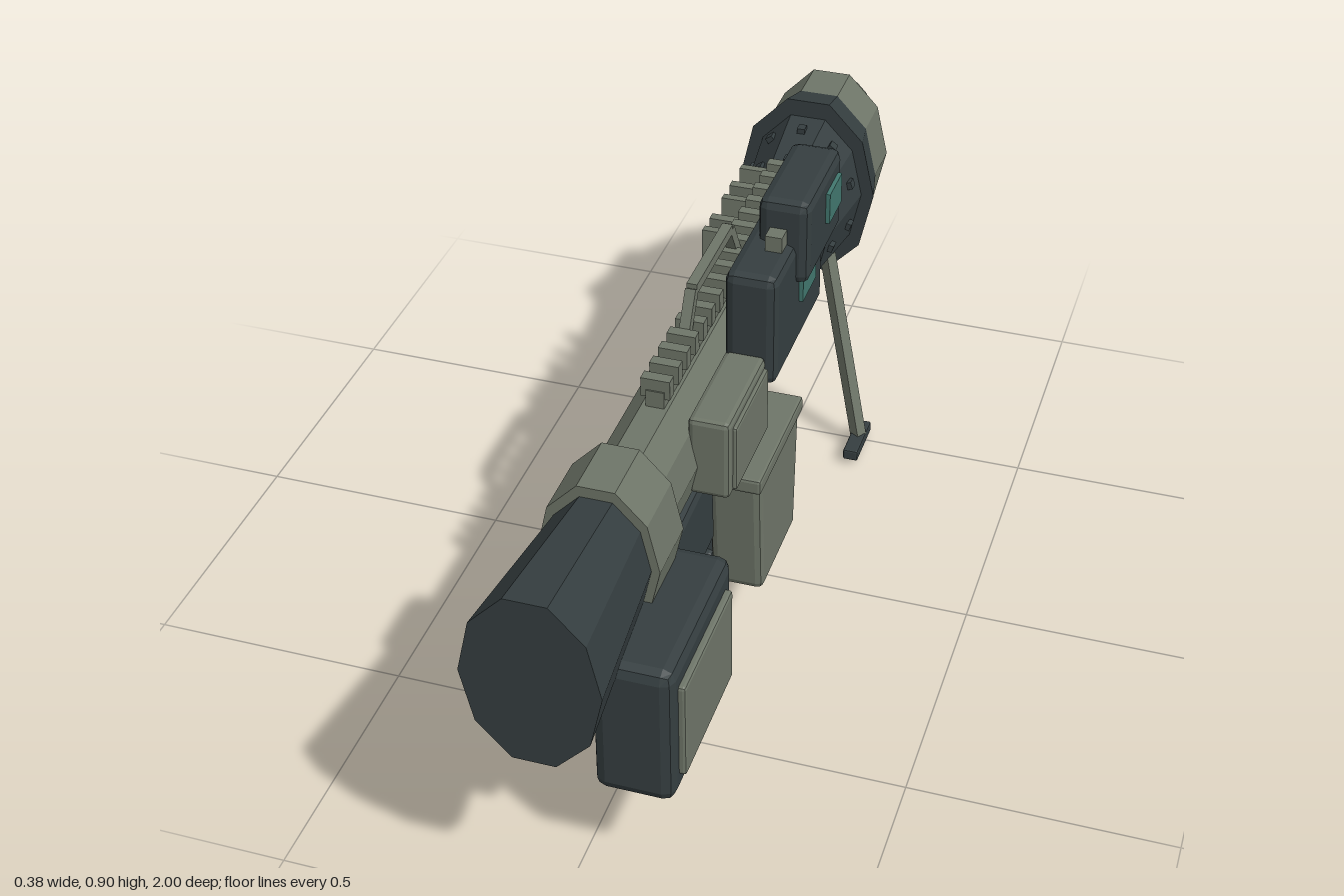
import * as THREE from 'three';
import { RoundedBoxGeometry } from 'three/addons/geometries/RoundedBoxGeometry.js';

const CX = -0.011, CY = 0.551, SQUASH = 0.69;

export function createModel() {
  const root = new THREE.Group();
  root.name = 'shoulderLauncher';
  const mat = (name, color) => {
    const m = new THREE.MeshStandardMaterial({ color });
    m.name = name;
    return m;
  };
  const dark = mat('darkGunmetal', 0x353e40);
  const grey = mat('oliveGrey', 0x6e7568);
  const teal = mat('tealGlass', 0x42776f);

  // Adds a mesh with one normal per face
  function add(name, geo, material) {
    const g = geo.index ? geo.toNonIndexed() : geo;
    g.computeVertexNormals();
    const mesh = new THREE.Mesh(g, material);
    mesh.name = name;
    root.add(mesh);
    return mesh;
  }

  // Box from its limits, with optional chamfer, tilt about x and narrowing of the bottom
  function box(name, material, [x0, x1, y0, y1, z0, z1], { bevel = 0, tilt = 0, taper = 1 } = {}) {
    const w = x1 - x0, h = y1 - y0, d = z1 - z0;
    const geo = bevel ? new RoundedBoxGeometry(w, h, d, 1, bevel) : new THREE.BoxGeometry(w, h, d);
    if (taper !== 1) {
      const p = geo.attributes.position;
      for (let i = 0; i < p.count; i++) {
        p.setZ(i, p.getZ(i) * THREE.MathUtils.lerp(taper, 1, p.getY(i) / h + 0.5));
      }
    }
    const mesh = add(name, geo, material);
    mesh.position.set((x0 + x1) / 2, (y0 + y1) / 2, (z0 + z1) / 2);
    mesh.rotation.x = tilt;
    return mesh;
  }

  // Ten-sided, sideways squashed section of the barrel between two z positions
  function section(name, material, zBack, rBack, zFront, rFront) {
    const geo = new THREE.CylinderGeometry(rFront, rBack, zFront - zBack, 10, 1, false, Math.PI / 2);
    geo.rotateX(Math.PI / 2);
    geo.scale(SQUASH, 1, 1);
    add(name, geo, material).position.set(CX, CY, (zBack + zFront) / 2);
  }

  // Square bar between two points
  function bar(name, material, a, b, size) {
    const from = new THREE.Vector3(...a), to = new THREE.Vector3(...b);
    const mesh = add(name, new THREE.BoxGeometry(size, size, from.distanceTo(to)), material);
    mesh.position.copy(from).add(to).multiplyScalar(0.5);
    mesh.lookAt(to);
  }

  // Barrel, exhaust bell and warhead
  section('exhaustBell', dark, 0.68, 0.137, 1.0, 0.177);
  section('rearBand', grey, 0.555, 0.159, 0.68, 0.159);
  section('tube', grey, -0.42, 0.116, 0.555, 0.116);
  section('muzzle', dark, -0.605, 0.172, -0.42, 0.14);
  section('warheadRim', dark, -0.69, 0.184, -0.605, 0.21);
  section('warheadBand', grey, -0.79, 0.183, -0.69, 0.183);
  section('warheadNeck', dark, -0.855, 0.125, -0.79, 0.148);
  section('warheadCone', grey, -0.965, 0.064, -0.855, 0.122);
  section('noseTip', grey, -1.0, 0.03, -0.96, 0.035);

  // Studs around the muzzle
  for (const z of [-0.46, -0.56]) {
    const r = 0.147 + (-0.46 - z) * 0.17;
    for (let i = 0; i < 10; i++) {
      const a = (i + 0.5) * Math.PI / 5;
      const stud = add('muzzleStud', new THREE.BoxGeometry(0.016, 0.016, 0.02), dark);
      stud.position.set(CX + Math.cos(a) * r * 0.96 * SQUASH, CY + Math.sin(a) * r * 0.96, z);
      stud.rotation.z = a;
    }
  }

  // Cooling fins in front of the sights
  [-0.155, -0.215, -0.28, -0.345, -0.4].forEach((z, i) => {
    box('coolingFin', grey, [-0.094, 0.074, 0.42, 0.695, z - 0.009, z + 0.009], { tilt: i % 2 ? 0.05 : -0.05 });
  });
  box('frontPost', grey, [-0.035, 0.015, 0.3, 0.45, -0.44, -0.418]);

  // Toothed top rail and carry handle
  box('topRail', grey, [-0.027, 0.007, 0.64, 0.695, -0.42, 0.38]);
  for (let i = 0; i < 17; i++) {
    const z = -0.405 + i * 0.0482;
    box('railTooth', grey, [-0.037, 0.017, 0.68, 0.718, z - 0.011, z + 0.011]);
  }
  const handle = [[CX, 0.69, 0.215], [CX, 0.775, 0.165], [CX, 0.775, -0.05], [CX, 0.69, -0.1]];
  for (let i = 0; i < 3; i++) bar('carryHandle', grey, handle[i], handle[i + 1], 0.02);

  // Stacked sights on the left side
  box('lowerSight', dark, [0.046, 0.145, 0.585, 0.815, -0.16, 0.16], { bevel: 0.018 });
  box('upperSight', dark, [0.07, 0.168, 0.73, 0.9, -0.197, 0.033], { bevel: 0.018 });
  box('lowerLens', teal, [0.144, 0.153, 0.68, 0.735, -0.08, 0.008]);
  box('upperLens', teal, [0.167, 0.176, 0.8, 0.862, -0.165, -0.082]);
  box('sightKnob', grey, [0.095, 0.127, 0.815, 0.846, 0.02, 0.065]);
  box('sightBolt', grey, [0.06, 0.1, 0.555, 0.6, -0.095, -0.055], { tilt: 0.3 });

  // Side electronics case
  box('sideCase', grey, [0.05, 0.128, 0.49, 0.653, 0.16, 0.385], { bevel: 0.01 });
  box('sideCasePanel', grey, [0.12, 0.136, 0.5, 0.635, 0.17, 0.365], { bevel: 0.005 });

  // Battery pack with side panel
  box('batteryPack', dark, [0.03, 0.175, 0.195, 0.482, 0.515, 0.852], { bevel: 0.022 });
  box('batteryPanel', grey, [0.165, 0.188, 0.24, 0.437, 0.555, 0.82], { bevel: 0.006 });

  // Shoulder rest and receiver under the tube
  box('shoulderRest', dark, [-0.088, 0.06, 0.275, 0.465, 0.25, 0.6], { bevel: 0.018, tilt: 0.05 });
  box('stockEnd', dark, [-0.045, 0.025, 0.305, 0.42, 0.58, 0.87], { bevel: 0.012 });
  box('receiver', dark, [-0.07, 0.05, 0.36, 0.47, -0.085, 0.27], { bevel: 0.012 });
  box('receiverFront', dark, [-0.055, 0.035, 0.31, 0.46, -0.085, 0.02], { bevel: 0.01 });

  // Rear grip, front grip and its foot
  box('rearGrip', dark, [-0.05, 0.025, 0.12, 0.39, 0.19, 0.3], { bevel: 0.014, tilt: -0.2 });
  box('frontGrip', dark, [-0.05, 0.025, 0.12, 0.4, 0.01, 0.11], { bevel: 0.012, tilt: -0.12 });
  box('frontGripStem', dark, [-0.036, 0.016, 0.025, 0.15, 0.055, 0.13], { bevel: 0.008, tilt: 0.18 });
  box('frontGripFoot', grey, [-0.037, 0.017, 0.008, 0.034, 0.055, 0.162], { bevel: 0.005, tilt: 0.13 });

  // Ammunition box with lid
  box('ammoBox', grey, [0.03, 0.134, 0.122, 0.39, -0.055, 0.208], { bevel: 0.015, taper: 0.84 });
  box('ammoBoxLid', grey, [0.024, 0.138, 0.38, 0.412, -0.066, 0.222], { bevel: 0.006 });

  // Bipod
  for (const s of [-1, 1]) {
    const x = CX + s * 0.164;
    bar('bipodLeg', grey, [x, 0.03, -0.475], [CX + s * 0.068, 0.44, -0.535], 0.024);
    box('bipodFoot', dark, [x - 0.016, x + 0.016, 0.013, 0.037, -0.523, -0.405], { bevel: 0.004 });
  }

  return root;
}
